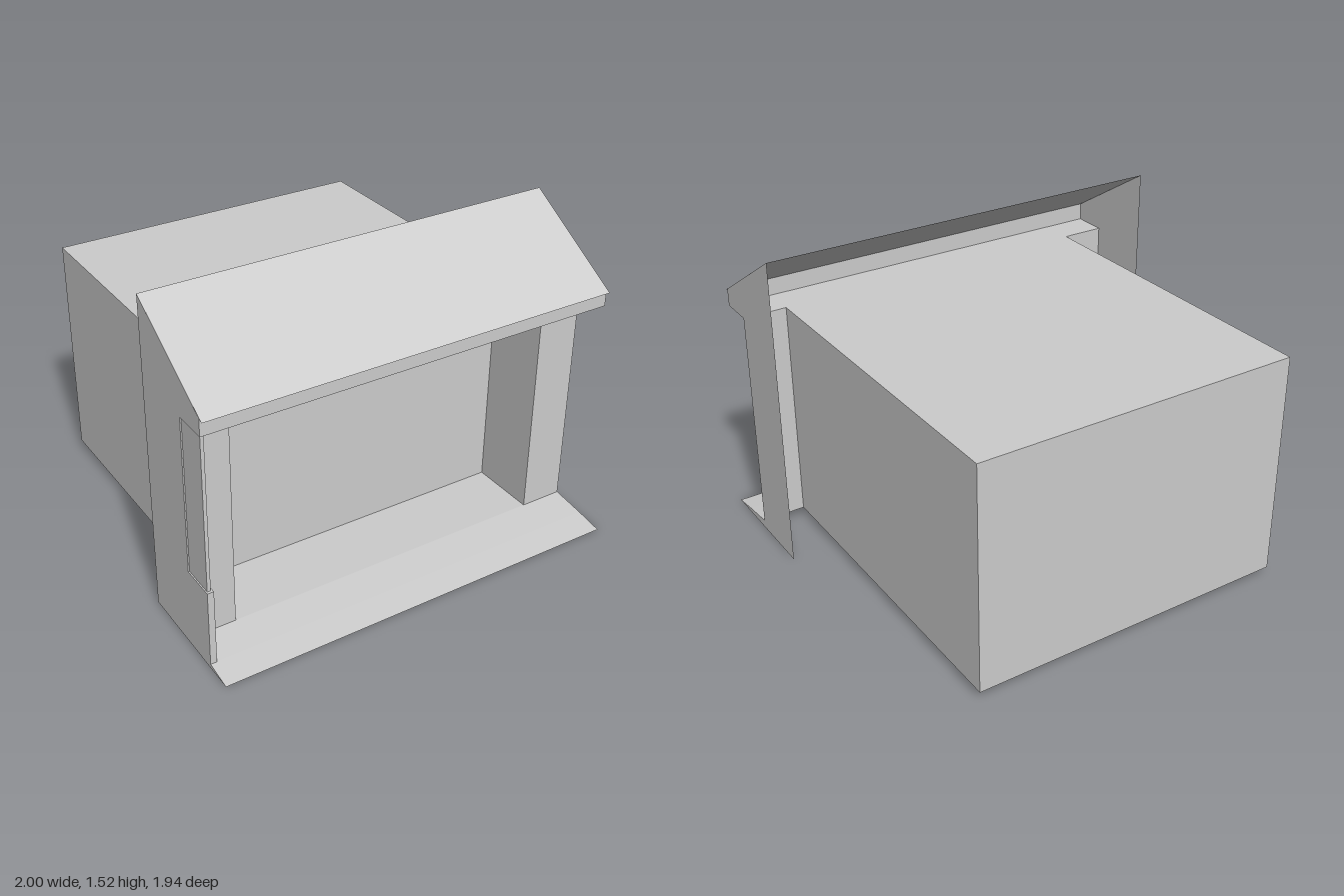
import * as THREE from 'three';

export function createModel() {
  const model = new THREE.Group();
  const grey = new THREE.MeshStandardMaterial({ color: 0xcccccc, side: THREE.DoubleSide, flatShading: true });
  grey.name = 'plain grey';

  const W = 1, IN = 0.79;              // half widths of frame and opening
  const BACK = 0.35, FACE = 0.675, FRONT = 0.84;
  const FLOOR = 0.04, TOP = 1.135;

  const add = (name, geometry) => {
    const mesh = new THREE.Mesh(geometry, grey);
    mesh.name = name;
    model.add(mesh);
    return mesh;
  };
  const box = (name, x0, x1, y0, y1, z0, z1) =>
    add(name, new THREE.BoxGeometry(x1 - x0, y1 - y0, z1 - z0))
      .position.set((x0 + x1) / 2, (y0 + y1) / 2, (z0 + z1) / 2);

  // Sheet spanning x0..x1 along a [z, y] profile
  const sheet = (name, x0, x1, profile) => {
    const p = [];
    for (let i = 0; i < profile.length - 1; i++) {
      const [za, ya] = profile[i], [zb, yb] = profile[i + 1];
      p.push(x0, ya, za, x1, ya, za, x1, yb, zb, x0, ya, za, x1, yb, zb, x0, yb, zb);
    }
    const g = new THREE.BufferGeometry();
    g.setAttribute('position', new THREE.Float32BufferAttribute(p, 3));
    g.computeVertexNormals();
    return add(name, g);
  };

  // Flat side panel at a given x from a [z, y] outline
  const sidePanel = (name, x, outline) => {
    const shape = new THREE.Shape(outline.map(([z, y]) => new THREE.Vector2(x > 0 ? -z : z, y)));
    const mesh = add(name, new THREE.ShapeGeometry(shape));
    mesh.rotation.y = x > 0 ? Math.PI / 2 : -Math.PI / 2;
    mesh.position.x = x;
  };

  // Closed room block behind the frame
  box('room', -IN, IN, FLOOR, TOP, -0.97, BACK);

  // Threshold floor and shallow entrance ramp
  sheet('thresholdFloor', -IN, IN, [[FACE, FLOOR], [BACK, FLOOR]]);
  const ramp = [[0.97, 0], [FRONT, 0.02], [FACE, FLOOR]];
  sheet('ramp', -W, W, ramp);

  // Sloping roof, fascia and soffit
  sheet('roof', -W, W, [[0.86, 1.207], [BACK, 1.52]]);
  sheet('fascia', -W, W, [[FRONT, TOP], [FRONT, 1.219]]);
  sheet('soffit', -W, W, [[FRONT, TOP], [FACE, TOP]]);
  sheet('openingCeiling', -IN, IN, [[FACE, TOP], [BACK, TOP]]);

  // Mirrored side gables, front piers and opening reveals
  for (const s of [-1, 1]) {
    sidePanel('gableWall', s * W, [
      [BACK, 0], [0.97, 0], [FRONT, 0.02], [FACE, FLOOR], [FACE, TOP],
      [FRONT, TOP], [FRONT, 1.219], [BACK, 1.52],
    ]);
    sheet('pier', Math.min(s * IN, s * W), Math.max(s * IN, s * W), [[FACE, FLOOR], [FACE, TOP]]);
    sidePanel('reveal', s * IN, [[BACK, FLOOR], [FACE, FLOOR], [FACE, TOP], [BACK, TOP]]);
  }

  // Low side wall with a pane above it, on the right side only
  box('lowWall', -W, -0.97, 0.02, 0.39, FACE, FRONT);
  box('sidePane', -0.994, -0.978, 0.39, TOP, FACE, 0.828);

  return model;
}
